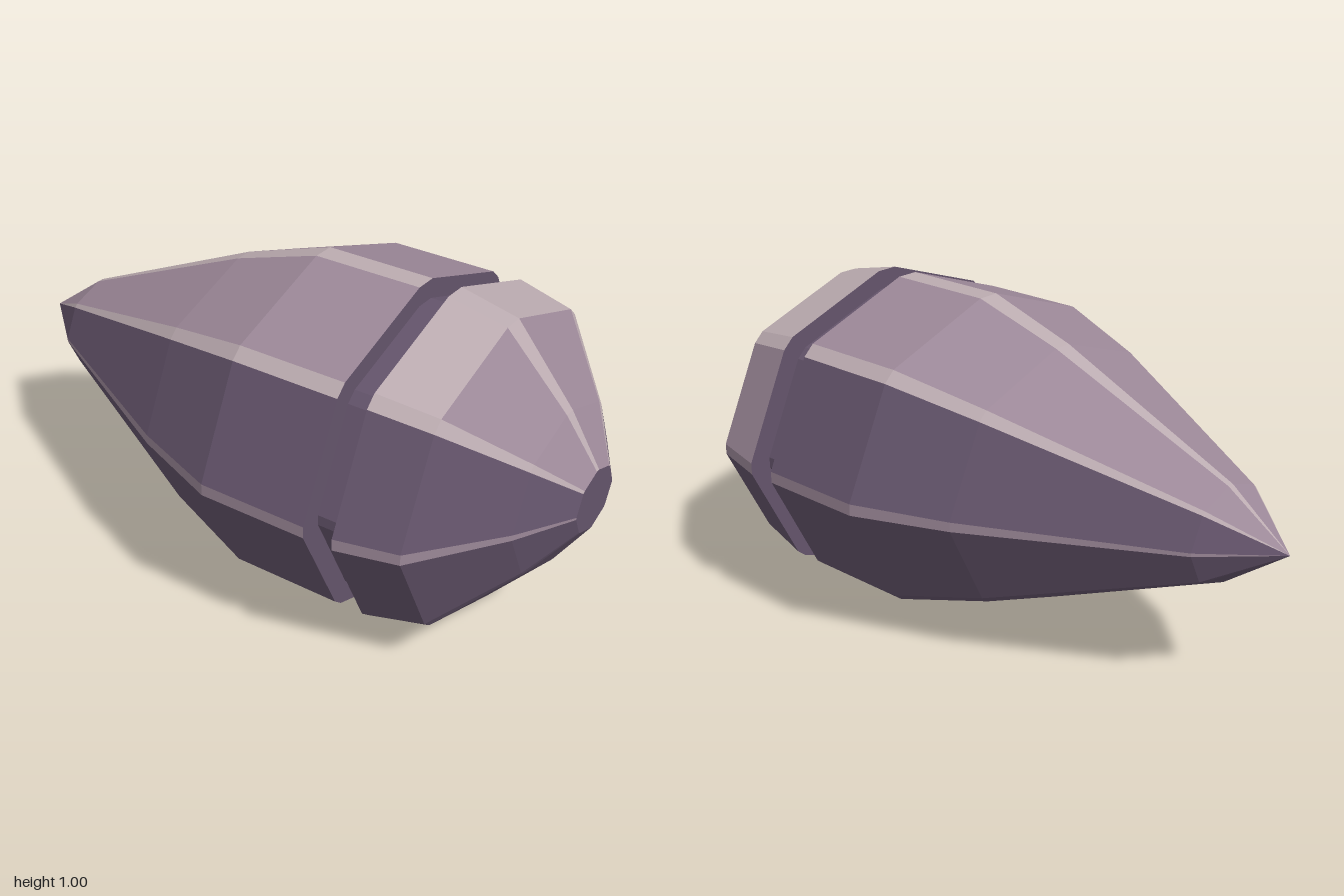
import * as THREE from 'three';

const make = (name, color) => {
  const m = new THREE.MeshStandardMaterial({ color });
  m.name = name;
  return m;
};
const purple = make('dark purple', 0x64546b);
const pink = make('dusty pink', 0x9c8898);
const light = make('pale ridge', 0xbbabb0);
const palette = [purple, pink, light];

// Eight-sided cross-section with narrow chamfered corners, from +x over the top to -x and back.
const right = [[0.59, -0.018], [0.59, 0.018], [0.435, 0.34], [0.4, 0.373], [0.035, 0.5]];
const low = [[-0.43, -0.34], [-0.4, -0.365], [-0.02, -0.5]];
const mirror = (pts) => pts.slice().reverse().map(([x, y]) => [-x, y]);
const section = [...right, ...mirror(right), ...low, ...mirror(low)];

// Palette index of each of the sixteen facets: 0 purple, 1 pink, 2 pale.
const plain = new Array(16).fill(0);
const shell = [1, 0, 2, 1, 2, 1, 2, 0, 1, 0, 0, 0, 0, 0, 0, 0];
const bandFacets = [1, 1, 2, 2, 2, 2, 2, 0, 1, 0, 0, 0, 0, 0, 0, 0];

// Lofts the section through [z, scale] rings running from front to back.
function loft(name, rings, facets) {
  const pos = [];
  const geo = new THREE.BufferGeometry();
  const point = ([z, s], i) => {
    const [x, y] = section[i % 16];
    return [x * s, 0.5 + y * s, z];
  };
  for (let i = 0; i < 16; i++) {
    const start = pos.length / 3;
    for (let k = 0; k < rings.length - 1; k++) {
      const f = rings[k], r = rings[k + 1];
      const a = point(f, i), b = point(f, i + 1), c = point(r, i + 1), d = point(r, i);
      if (r[1] > 0) pos.push(...a, ...d, ...c);
      if (f[1] > 0) pos.push(...a, ...c, ...b);
    }
    geo.addGroup(start, pos.length / 3 - start, facets[i]);
  }
  geo.setAttribute('position', new THREE.Float32BufferAttribute(pos, 3));
  geo.computeVertexNormals();
  const mesh = new THREE.Mesh(geo, palette);
  mesh.name = name;
  return mesh;
}

export function createModel() {
  const group = new THREE.Group();
  group.name = 'facetedPod';
  group.add(
    loft('noseCap', [[1, 0], [1, 0.19]], plain),
    loft('nose', [[1, 0.19], [0.9, 0.49], [0.71, 0.92]], shell),
    loft('collarBand', [[0.71, 0.92], [0.527, 1]], bandFacets),
    // Recessed groove with both of its side walls
    loft('groove', [[0.527, 1], [0.527, 0.88], [0.435, 0.88], [0.435, 1]], plain),
    loft('taperedBody', [[0.435, 1], [0.09, 1], [-0.2, 0.815], [-0.8, 0.295], [-1, 0]], shell),
  );
  return group;
}
